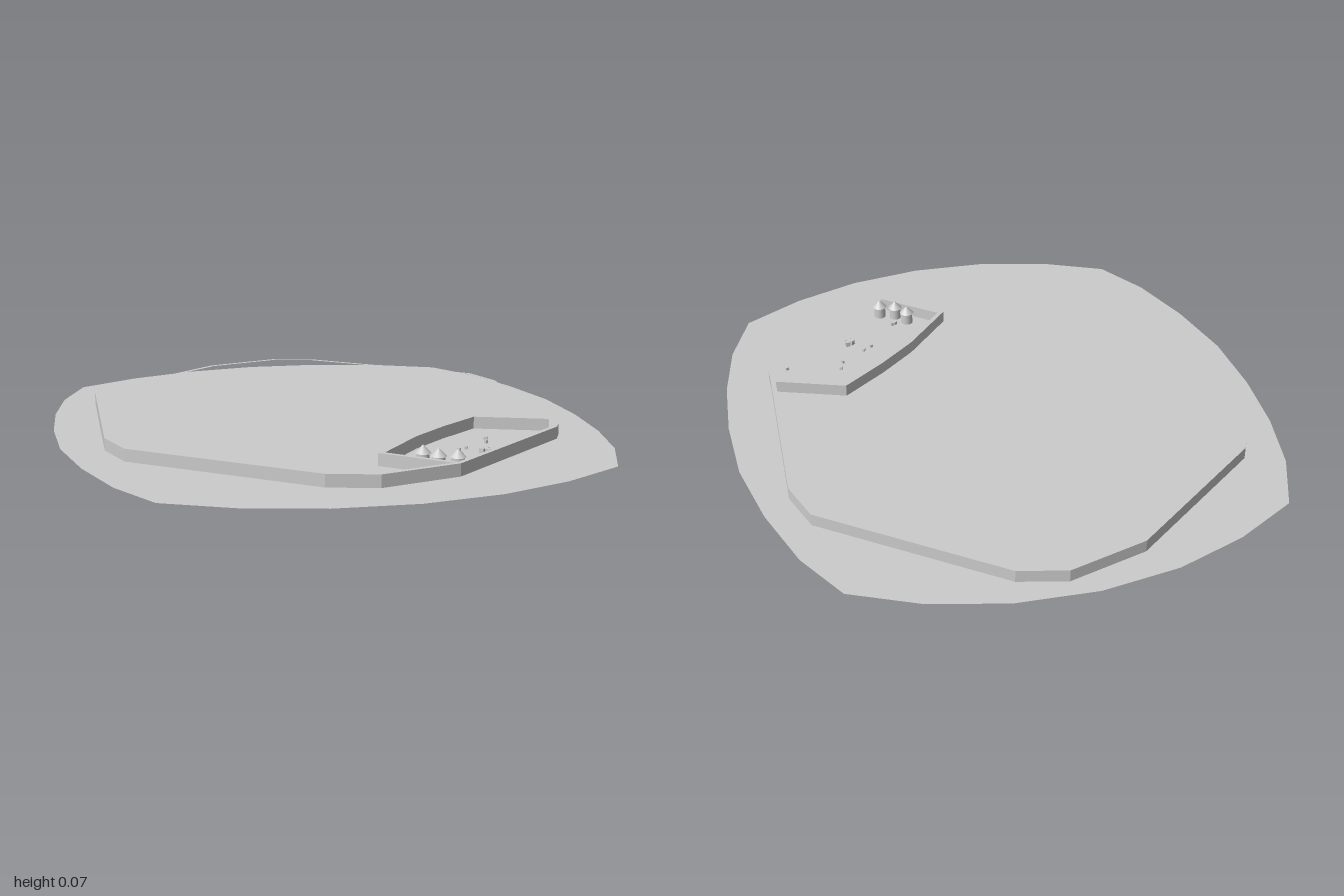
import * as THREE from 'three';

const WALL_H = 0.04, WALL_T = 0.016;
const material = new THREE.MeshStandardMaterial({ color: 0xcccccc, flatShading: true });
const smooth = new THREE.MeshStandardMaterial({ color: 0xcccccc });
const groundMat = new THREE.MeshStandardMaterial({ color: 0xcccccc, side: THREE.DoubleSide });

function addMesh(parent, name, geometry, x = 0, y = 0, z = 0, mat = material) {
  const mesh = new THREE.Mesh(geometry, mat);
  mesh.name = name;
  mesh.position.set(x, y, z);
  parent.add(mesh);
  return mesh;
}

// Shapes are drawn in (x, -z) so that rotating by -90 degrees lays them on the ground
const toPlan = (pts) => pts.map(([x, z]) => new THREE.Vector2(x, -z));

// Mitred parallel of a path at distance d
function offsetPath(pts, d, closed) {
  const n = pts.length;
  const normal = (a, b) => new THREE.Vector2(a.y - b.y, b.x - a.x).normalize();
  return pts.map((p, i) => {
    const prev = closed || i > 0 ? pts[(i + n - 1) % n] : null;
    const next = closed || i < n - 1 ? pts[(i + 1) % n] : null;
    const n1 = prev ? normal(prev, p) : normal(p, next);
    const n2 = next ? normal(p, next) : n1;
    const m = n1.clone().add(n2).normalize();
    return p.clone().addScaledVector(m, d / m.dot(n1));
  });
}

// Straight-sided wall of even thickness along a path
function wallGeometry(points, closed) {
  const pts = toPlan(points);
  const a = offsetPath(pts, WALL_T / 2, closed);
  const b = offsetPath(pts, -WALL_T / 2, closed);
  let shape;
  if (closed) {
    // The path runs clockwise in plan, so the positive offset is the outer one
    shape = new THREE.Shape(a);
    shape.holes.push(new THREE.Path(b));
  } else {
    shape = new THREE.Shape([...a, ...b.reverse()]);
  }
  return new THREE.ExtrudeGeometry(shape, { depth: WALL_H, bevelEnabled: false }).rotateX(-Math.PI / 2);
}

export function createModel() {
  const model = new THREE.Group();
  model.name = 'walledSettlement';

  // Flat ground, half an outline repeated by a half turn
  const half = [
    [-0.47, -0.94], [-0.24, -0.99], [0, -1], [0.25, -0.96], [0.49, -0.87], [0.7, -0.74], [0.87, -0.58],
    [0.91, -0.38], [0.91, -0.14], [0.88, 0.11], [0.81, 0.35], [0.72, 0.57], [0.61, 0.77],
  ];
  const outline = [...half, ...half.map(([x, z]) => [-x, -z])];
  addMesh(model, 'ground',
    new THREE.ShapeGeometry(new THREE.Shape(toPlan(outline))).rotateX(-Math.PI / 2), 0, 0, 0, groundMat);

  // Outer wall
  addMesh(model, 'outerWall', wallGeometry([
    [0.04, -0.88], [0.3, -0.87], [0.43, -0.79], [0.8, -0.25], [0.8, -0.1], [0.585, 0.48], [0.565, 0.54],
    [0.53, 0.575], [0, 0.782], [-0.26, 0.765], [-0.39, 0.68], [-0.76, 0.13], [-0.76, -0.02],
    [-0.53, -0.655], [-0.505, -0.68],
  ], true));

  // Inner wall closing off the front corner
  addMesh(model, 'innerWall', wallGeometry([
    [0.585, 0.48], [0.39, 0.325], [0.22, 0.385], [0.07, 0.45], [-0.13, 0.57], [0, 0.78],
  ], false));

  // Round huts with conical roofs
  [[-0.025, 0.635], [-0.007, 0.69], [0.037, 0.727]].forEach(([x, z]) => {
    const hut = new THREE.Group();
    hut.name = 'hut';
    hut.position.set(x, 0, z);
    addMesh(hut, 'hutWall', new THREE.CylinderGeometry(0.02, 0.02, 0.04, 16), 0, 0.02, 0, smooth);
    addMesh(hut, 'hutRoof', new THREE.ConeGeometry(0.025, 0.026, 16), 0, 0.053, 0, smooth);
    model.add(hut);
  });

  // Small clusters of blocks
  [[0.025, 0.65, 0.011], [0.228, 0.612, 0.016]].forEach(([x, z, s]) => {
    const pile = new THREE.Group();
    pile.name = 'blockPile';
    pile.position.set(x, 0, z);
    [[-0.5, -0.4], [0.5, -0.5], [0, 0.5]].forEach(([dx, dz], i) => {
      const block = addMesh(pile, 'block', new THREE.BoxGeometry(s, s, s), dx * s, s / 2, dz * s);
      block.rotation.y = 0.4 + i;
    });
    model.add(pile);
  });

  // Scattered single stones
  [[0.17, 0.55], [0.205, 0.54], [0.305, 0.51], [0.33, 0.475], [0.49, 0.573]].forEach(([x, z], i) => {
    addMesh(model, 'stone', new THREE.BoxGeometry(0.011, 0.01, 0.007), x, 0.005, z).rotation.y = i * 0.8;
  });

  return model;
}
